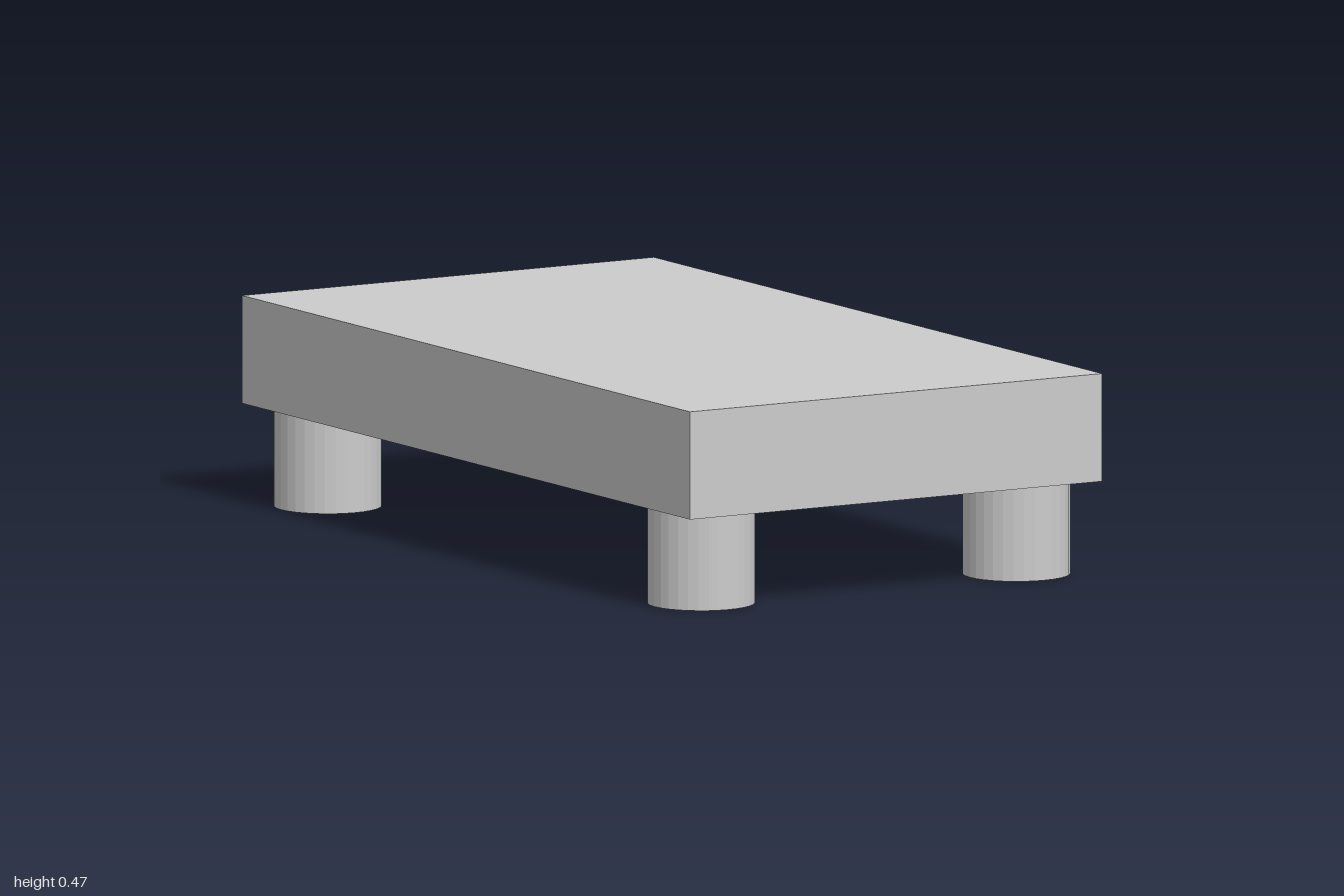
import * as THREE from 'three';

export function createModel() {
  const model = new THREE.Group();
  const material = new THREE.MeshStandardMaterial({ color: 0xcccccc, flatShading: true });

  const legHeight = 0.225, legRadius = 0.124;
  const slabHeight = 0.25;

  // Thick rectangular top
  const slab = new THREE.Mesh(new THREE.BoxGeometry(1.1, slabHeight, 2), material);
  slab.name = 'tableTop';
  slab.position.y = legHeight + slabHeight / 2;
  model.add(slab);

  // Four short round legs, one near each corner
  const legGeometry = new THREE.CylinderGeometry(legRadius, legRadius, legHeight, 32);
  for (const [zName, z] of [['front', 0.833], ['back', -0.833]]) {
    for (const [xName, x] of [['Left', 0.421], ['Right', -0.421]]) {
      const leg = new THREE.Mesh(legGeometry, material);
      leg.name = `${zName}${xName}Leg`;
      leg.position.set(x, legHeight / 2, z);
      model.add(leg);
    }
  }

  return model;
}
